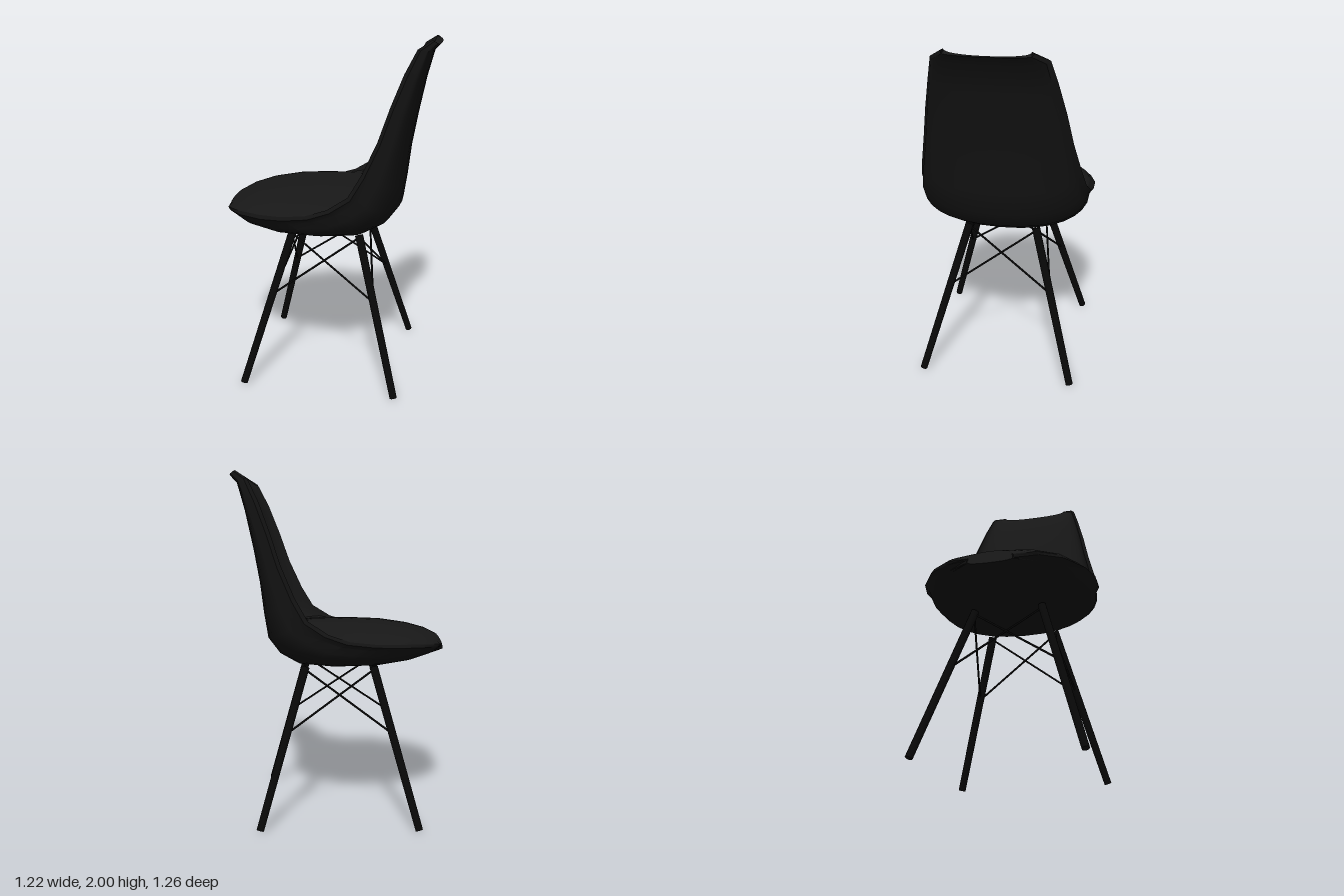
import * as THREE from 'three';
import { toCreasedNormals } from 'three/addons/utils/BufferGeometryUtils.js';

// Stations along the seat, from the top of the back to the front lip:
// rim (half width, y, z), underside centre (y, z), cushion centre (y, z)
const STATIONS = [
  [0.23, 1.995, -0.575, 1.975, -0.605, 1.97, -0.555],
  [0.3, 1.95, -0.51, 1.935, -0.565, 1.93, -0.525],
  [0.335, 1.82, -0.45, 1.78, -0.525, 1.79, -0.485],
  [0.375, 1.65, -0.385, 1.58, -0.485, 1.6, -0.445],
  [0.41, 1.47, -0.325, 1.38, -0.45, 1.4, -0.405],
  [0.45, 1.3, -0.25, 1.2, -0.43, 1.24, -0.375],
  [0.478, 1.18, -0.18, 1.06, -0.41, 1.15, -0.355],
  [0.497, 1.11, -0.07, 0.97, -0.345, 1.11, -0.335],
  [0.505, 1.07, 0.05, 0.91, -0.24, 1.135, -0.15],
  [0.505, 1.055, 0.19, 0.893, -0.05, 1.14, 0.05],
  [0.47, 1.045, 0.32, 0.9, 0.2, 1.135, 0.25],
  [0.377, 1.035, 0.474, 0.925, 0.38, 1.115, 0.42],
  [0.258, 1.02, 0.568, 0.96, 0.5, 1.09, 0.53],
  [0.13, 1.01, 0.613, 0.98, 0.615, 1.06, 0.595],
];
const STEPS = 8; // divisions per half section
const FULLNESS = 0.87; // below 1 squares off the quarter-ellipse

// Squared quarter-ellipse section mirrored across the middle, from -x to +x
function section(edge, cy, cz) {
  const pts = [];
  for (let i = -STEPS; i <= STEPS; i++) {
    const a = (Math.abs(i) / STEPS) * Math.PI / 2;
    const s = Math.sign(i) * Math.sin(a) ** FULLNESS;
    const k = 1 - Math.max(0, Math.cos(a)) ** FULLNESS;
    pts.push([edge[0] * s, cy + (edge[1] - cy) * k, cz + (edge[2] - cz) * k]);
  }
  return pts;
}

const mirror = ([x, y, z]) => [-x, y, z];

// Skin a list of equal-length sections
function loft(rows) {
  const n = rows[0].length, index = [];
  for (let j = 0; j < rows.length - 1; j++) {
    for (let i = 0; i < n - 1; i++) {
      const a = j * n + i, b = a + 1, c = a + n, d = c + 1;
      index.push(a, b, c, b, d, c);
    }
  }
  const geo = new THREE.BufferGeometry();
  geo.setAttribute('position', new THREE.Float32BufferAttribute(rows.flat(2), 3));
  geo.setIndex(index);
  return toCreasedNormals(geo, 0.6);
}

function rod(name, from, to, r0, r1, sides, material) {
  const dir = to.clone().sub(from);
  const mesh = new THREE.Mesh(new THREE.CylinderGeometry(r1, r0, dir.length(), sides), material);
  mesh.name = name;
  mesh.position.copy(from).add(to).multiplyScalar(0.5);
  mesh.quaternion.setFromUnitVectors(new THREE.Vector3(0, 1, 0), dir.normalize());
  return mesh;
}

export function createModel() {
  const shellMat = new THREE.MeshStandardMaterial({ color: 0x121212, side: THREE.DoubleSide });
  const padMat = new THREE.MeshStandardMaterial({ color: 0x181818, side: THREE.DoubleSide });
  const legMat = new THREE.MeshStandardMaterial({ color: 0x080808 });
  const seat = new THREE.Group();
  seat.name = 'seat';
  const base = new THREE.Group();
  base.name = 'base';

  // Shell with a blunt lip, and the cushion lining it
  const shellRows = [], padRows = [];
  for (const [rx, ry, rz, cy, cz, py, pz] of STATIONS) {
    const dy = cy - ry, dz = cz - rz, len = Math.hypot(dy, dz);
    const lip = Math.min(0.035, len * 0.5) / len;
    const under = [rx * 0.96, ry + dy * lip, rz + dz * lip];
    const rim = [rx, ry, rz];
    const inner = [rx * 0.94, ry - dy * lip * 0.6, rz - dz * lip * 0.6];
    shellRows.push([mirror(inner), mirror(rim), ...section(under, cy, cz), rim, inner]);
    padRows.push(section(inner, py, pz).reverse());
  }
  // Close the cushion against the shell at the top and front edges
  const bare = (row) => row.slice(2, -2).reverse();
  padRows.unshift(bare(shellRows[0]));
  padRows.push(bare(shellRows[shellRows.length - 1]));

  const shell = new THREE.Mesh(loft(shellRows), shellMat);
  shell.name = 'seatShell';
  const cushion = new THREE.Mesh(loft(padRows), padMat);
  cushion.name = 'cushion';
  seat.add(shell, cushion);

  // Four splayed legs
  const legs = [[1, 1], [-1, 1], [-1, -1], [1, -1]].map(([sx, sz]) => ({
    foot: new THREE.Vector3(sx * 0.447, 0.006, sz * 0.447),
    top: new THREE.Vector3(sx * 0.197, 0.895, sz * 0.197),
  }));
  legs.forEach(({ foot, top }) => base.add(rod('leg', foot, top, 0.021, 0.024, 10, legMat)));

  // Crossed wire braces between neighbouring legs
  legs.forEach((a, i) => {
    const b = legs[(i + 1) % 4];
    for (const [p, q] of [[a, b], [b, a]]) {
      const low = p.foot.clone().lerp(p.top, 0.585);
      const high = q.foot.clone().lerp(q.top, 0.985);
      base.add(rod('brace', low, high, 0.006, 0.006, 6, legMat));
    }
  });

  // Seat and base are turned together on the floor
  const model = new THREE.Group();
  model.name = 'shellChair';
  for (const part of [seat, base]) {
    part.rotation.y = Math.PI + 0.428;
    model.add(part);
  }
  seat.position.x = 0.005;
  base.position.z = -0.01;
  return model;
}
